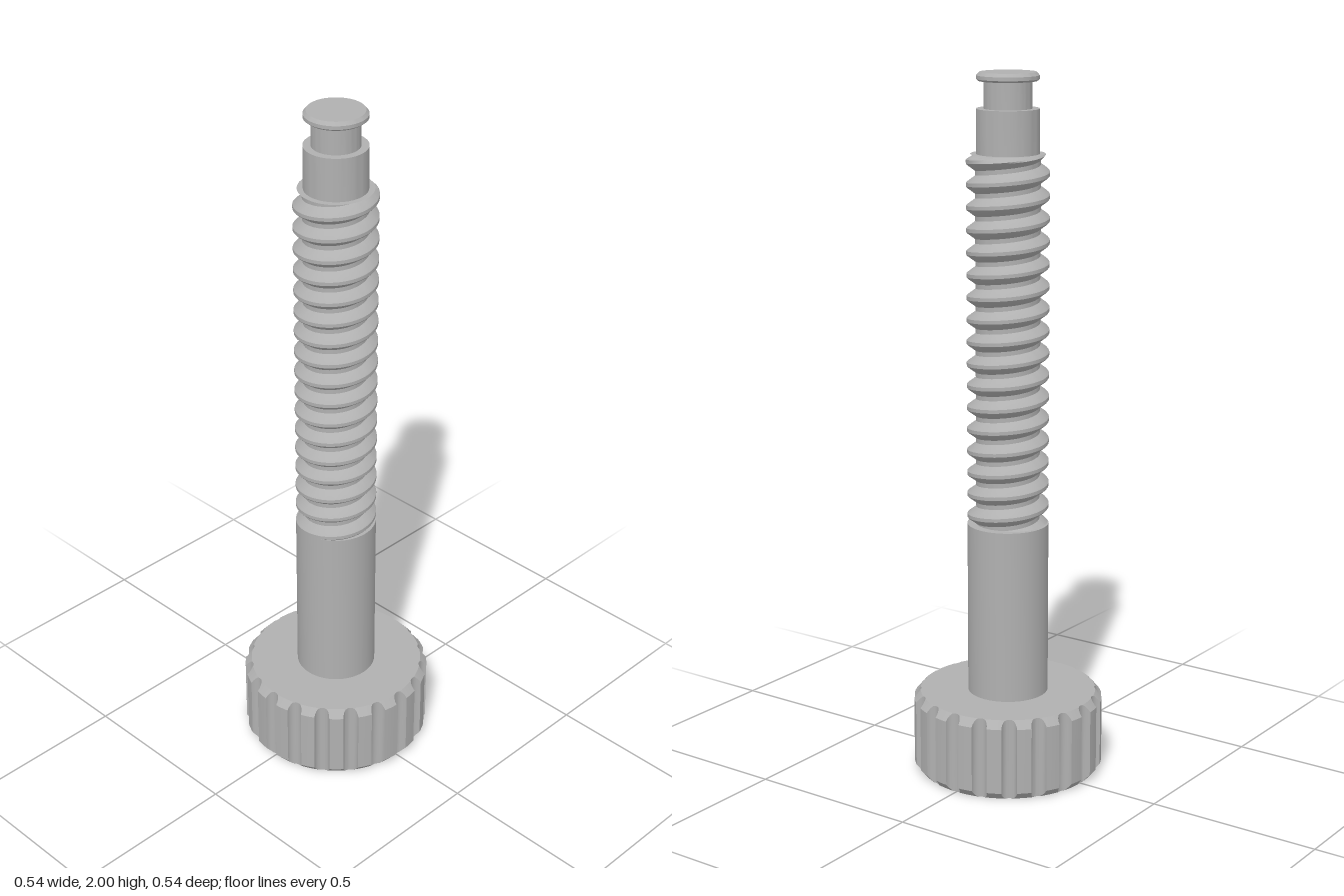
import * as THREE from 'three';
import { toCreasedNormals } from 'three/addons/utils/BufferGeometryUtils.js';

const metal = new THREE.MeshStandardMaterial({ color: 0xb0b0b0 });
metal.name = 'grey metal';

const KNOB = { radius: 0.272, face: 0.253, height: 0.235, chamfer: 0.022, notches: 20, notchRadius: 0.022 };
const RECESS = 0.008;

function addMesh(group, name, geometry, crease = 0.5) {
  const mesh = new THREE.Mesh(toCreasedNormals(geometry, crease), metal);
  mesh.name = name;
  group.add(mesh);
}

function lathe(points) {
  return new THREE.LatheGeometry(points.map(([r, y]) => new THREE.Vector2(r, y)), 64);
}

// Joins rows of points into quads; every row has the same length
function skin(rows) {
  const pos = [];
  const tri = (a, b, c) => {
    const area = b.clone().sub(a).cross(c.clone().sub(a)).length();
    if (area > 1e-9) pos.push(...a.toArray(), ...b.toArray(), ...c.toArray());
  };
  for (let j = 0; j < rows.length - 1; j++) {
    for (let i = 0; i < rows[j].length - 1; i++) {
      const a = rows[j][i], b = rows[j][i + 1], c = rows[j + 1][i + 1], d = rows[j + 1][i];
      tri(a, b, c);
      tri(a, c, d);
    }
  }
  const geometry = new THREE.BufferGeometry();
  geometry.setAttribute('position', new THREE.Float32BufferAttribute(pos, 3));
  return geometry;
}

const polar = (r, t, y) => new THREE.Vector3(r * Math.cos(t), y, -r * Math.sin(t));

// Grip outline as [radius, angle]: round notches with arcs between them
function knobOutline() {
  const out = [];
  const step = (Math.PI * 2) / KNOB.notches;
  for (let n = 0; n < KNOB.notches; n++) {
    for (let i = 0; i <= 10; i++) {
      const a = Math.PI * (1.5 - i / 10);
      const x = KNOB.radius + KNOB.notchRadius * Math.cos(a);
      const z = KNOB.notchRadius * Math.sin(a);
      out.push([Math.min(Math.hypot(x, z), KNOB.radius), n * step + Math.atan2(z, x)]);
    }
    const edge = Math.atan2(KNOB.notchRadius, KNOB.radius);
    for (let i = 1; i < 4; i++) {
      out.push([KNOB.radius, n * step + edge + ((step - 2 * edge) * i) / 4]);
    }
  }
  out.push([out[0][0], out[0][1] + Math.PI * 2]);
  return out;
}

// Notched grip with a conical chamfer at both rims
function knobGeometry(outline) {
  const drop = r => Math.max(0, (r - KNOB.face) / (KNOB.radius - KNOB.face)) * KNOB.chamfer;
  const ring = (cap, height) => outline.map(([r, t]) => polar(Math.min(r, cap), t, height(r)));
  const H = KNOB.height;
  return skin([
    ring(0, () => RECESS),
    ring(KNOB.face - 0.004, () => RECESS),
    ring(KNOB.face, () => 0),
    ring(1, r => drop(r)),
    ring(1, r => H - drop(r)),
    ring(KNOB.face, () => H),
    ring(0, () => H)
  ]);
}

// Underside plate with a curved arrow cut through it
function bottomPlate(outline) {
  const shape = new THREE.Shape(outline.slice(0, -1).map(([r, t]) => {
    const q = Math.min(r, KNOB.face);
    return new THREE.Vector2(q * Math.cos(t), q * Math.sin(t));
  }));
  const point = (r, deg) => {
    const t = THREE.MathUtils.degToRad(deg + 225);
    return new THREE.Vector2(r * Math.cos(t), r * Math.sin(t));
  };
  const arrow = [];
  for (let i = 0; i <= 40; i++) arrow.push(point(0.196, 180 - i * 6.25));
  arrow.push(point(0.222, -70), point(0.188, -92), point(0.154, -70));
  for (let i = 40; i >= 0; i--) arrow.push(point(0.18, 180 - i * 6.25));
  shape.holes.push(new THREE.Path(arrow));
  return new THREE.ExtrudeGeometry(shape, { depth: RECESS, bevelEnabled: false })
    .rotateX(Math.PI / 2).translate(0, RECESS, 0);
}

// Right-handed helical thread, trimmed flat at both ends
function threadGeometry() {
  const y0 = 0.73, y1 = 1.78, pitch = 0.0625, root = 0.09, crest = 0.115, segments = 64;
  const profile = [[0, root], [0.2, root], [0.46, crest - 0.003], [0.52, crest], [0.68, crest], [0.74, crest - 0.003]];
  const turns = Math.ceil((y1 - y0) / pitch) + 1;
  const rows = [];
  const addRow = (offset, r) => {
    const row = [];
    for (let i = 0; i <= segments; i++) {
      const u = i / segments;
      const y = THREE.MathUtils.clamp(y0 + pitch * (offset + u), y0, y1);
      row.push(polar(Math.min(r, 0.103 + (y1 - y)), u * Math.PI * 2, y));
    }
    rows.push(row);
  };
  for (let k = -1; k < turns; k++) profile.forEach(([p, r]) => addRow(k + p, r));
  addRow(turns, 0.08);
  return skin(rows);
}

export function createModel() {
  const model = new THREE.Group();
  model.name = 'thumbScrew';

  const outline = knobOutline();
  addMesh(model, 'knob', knobGeometry(outline), 0.4);
  addMesh(model, 'knobUnderside', bottomPlate(outline));

  // Plain shank
  addMesh(model, 'shank', lathe([[0.115, 0.23], [0.115, 0.735], [0, 0.735]]));

  addMesh(model, 'thread', threadGeometry(), 0.45);

  // Stepped tip with a retaining groove and cap
  addMesh(model, 'tip', lathe([
    [0.087, 1.77], [0.087, 1.902], [0.066, 1.902], [0.066, 1.976],
    [0.08, 1.976], [0.086, 1.981], [0.086, 1.991], [0.078, 2], [0, 2]
  ]));

  return model;
}
